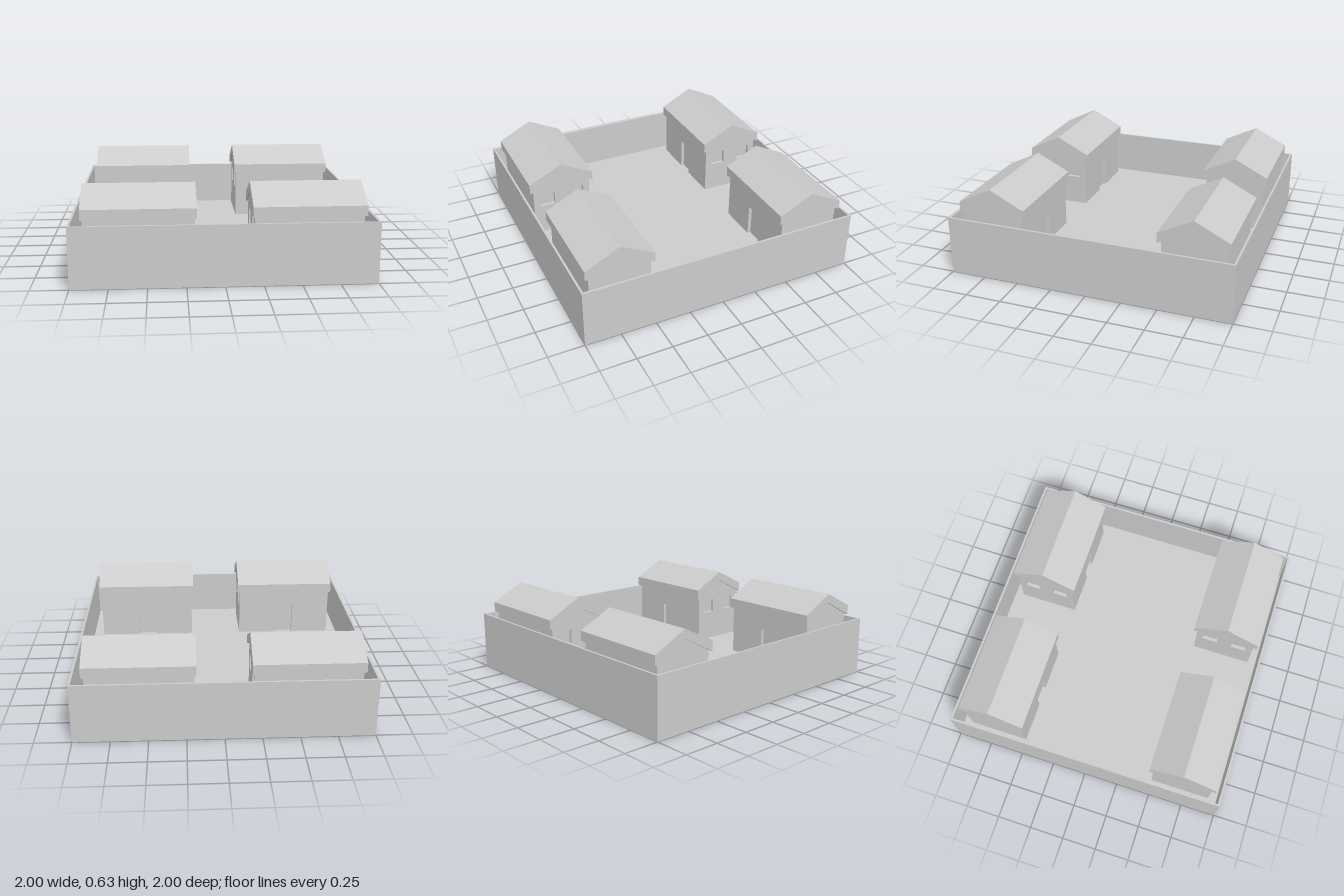
import * as THREE from 'three';

const material = new THREE.MeshStandardMaterial({ color: 0xcccccc, flatShading: true });

const FLOOR = 0.09;   // top of the yard floor
const LENGTH = 0.715; // house size along x
const WIDTH = 0.43;   // house size along z
const EAVE = 0.452;   // wall height at the eaves
const T = 0.025;      // house wall thickness

function addMesh(parent, name, geometry, x = 0, y = 0, z = 0) {
  const mesh = new THREE.Mesh(geometry, material);
  mesh.name = name;
  mesh.position.set(x, y, z);
  parent.add(mesh);
  return mesh;
}

const polygon = (points) => new THREE.Shape(points.map(([x, y]) => new THREE.Vector2(x, y)));

function rectPath(x0, y0, x1, y1) {
  return new THREE.Path([[x0, y0], [x0, y1], [x1, y1], [x1, y0]].map(([x, y]) => new THREE.Vector2(x, y)));
}

// Extrusion centred on its own depth
function extrude(shape, depth) {
  return new THREE.ExtrudeGeometry(shape, { depth, bevelEnabled: false }).translate(0, 0, -depth / 2);
}

// Gable wall lying in the z-y plane, with optional square windows
function gableGeometry(withWindows) {
  const h = WIDTH / 2;
  const shape = polygon([[-h, FLOOR], [h, FLOOR], [h, EAVE], [0, 0.565], [-h, EAVE]]);
  if (withWindows) {
    for (const z of [-0.11, 0.11]) shape.holes.push(rectPath(z - 0.055, 0.31, z + 0.055, 0.41));
  }
  return extrude(shape, T).rotateY(Math.PI / 2);
}

// House with its door on +z and its windows on the given x side
function createHouse(windowSide) {
  const house = new THREE.Group();
  const innerLength = LENGTH - 2 * T;
  const wallX = (LENGTH - T) / 2;
  const wallZ = (WIDTH - T) / 2;
  const h = innerLength / 2;

  // Long walls; the front one is notched for the door
  const front = polygon([
    [-h, FLOOR], [-0.07, FLOOR], [-0.07, 0.32], [0.07, 0.32],
    [0.07, FLOOR], [h, FLOOR], [h, EAVE], [-h, EAVE],
  ]);
  addMesh(house, 'frontWall', extrude(front, T), 0, 0, wallZ);
  addMesh(house, 'backWall', new THREE.BoxGeometry(innerLength, EAVE - FLOOR, T), 0, (EAVE + FLOOR) / 2, -wallZ);
  addMesh(house, 'door', new THREE.BoxGeometry(0.16, 0.24, 0.01), 0, FLOOR + 0.12, wallZ - T / 2 - 0.005);

  // Gable walls and recessed window panes
  addMesh(house, 'windowGable', gableGeometry(true), windowSide * wallX);
  addMesh(house, 'plainGable', gableGeometry(false), -windowSide * wallX);
  for (const z of [-0.11, 0.11]) {
    addMesh(house, 'windowPane', new THREE.BoxGeometry(0.01, 0.12, 0.13), windowSide * (wallX - T / 2 - 0.005), 0.36, z);
  }

  // Pitched roof with upright eaves
  const roof = polygon([[-0.24, 0.44], [0, 0.565], [0.24, 0.44], [0.24, 0.51], [0, 0.63], [-0.24, 0.51]]);
  addMesh(house, 'roof', extrude(roof, 0.742).rotateY(Math.PI / 2));
  return house;
}

export function createModel() {
  const model = new THREE.Group();
  model.name = 'walledCourtyard';

  // Thin perimeter wall around a slab floor
  const inner = 0.985;
  const frame = polygon([[-1, -1], [1, -1], [1, 1], [-1, 1]]);
  frame.holes.push(rectPath(-inner, -inner, inner, inner));
  addMesh(model, 'perimeterWall', extrude(frame, 0.415).rotateX(-Math.PI / 2), 0, 0.2075, 0);
  addMesh(model, 'floor', new THREE.BoxGeometry(2 * inner, FLOOR, 2 * inner), 0, FLOOR / 2, 0);

  // Four houses: doors face the middle, windows face the opposite house
  for (const sx of [-1, 1]) {
    for (const sz of [-1, 1]) {
      const house = createHouse(sx * sz);
      house.name = (sz > 0 ? 'front' : 'back') + (sx > 0 ? 'Left' : 'Right') + 'House';
      house.position.set(sx * 0.551, 0, sz * 0.708);
      if (sz > 0) house.rotation.y = Math.PI;
      model.add(house);
    }
  }
  return model;
}
